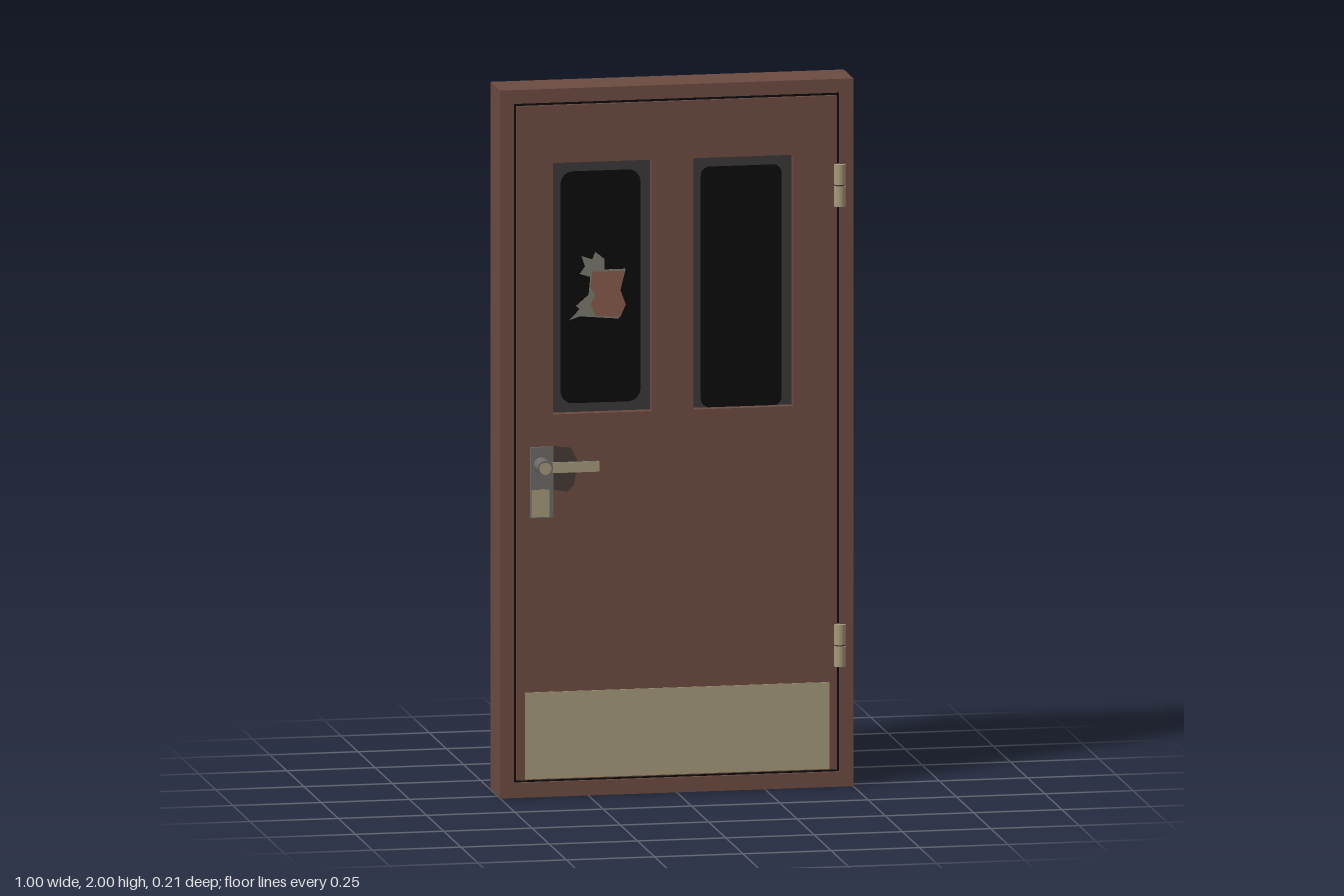
import * as THREE from 'three';

const mat = (name, color) => {
  const m = new THREE.MeshStandardMaterial({ color });
  m.name = name;
  return m;
};

export function createModel() {
  const brown = mat('brown paint', 0x6d4b41);
  const brass = mat('pale brass', 0xa59a7a);
  const black = mat('black glass', 0x0b0b0b);
  const dark = mat('dark grey surround', 0x3b3838);
  const steel = mat('worn steel', 0x6c6b65);
  const shard = mat('cracked glass', 0x7a786f);
  const stain = mat('stain', 0x453a37);
  const hole = mat('hole brown', 0x875a4c);

  const root = new THREE.Group();
  root.name = 'door';

  const add = (parent, name, geo, material, x = 0, y = 0, z = 0) => {
    const m = new THREE.Mesh(geo, material);
    m.name = name;
    m.position.set(x, y, z);
    parent.add(m);
    return m;
  };
  // box given by its limits
  const box = (parent, name, material, x0, x1, y0, y1, z0, z1) =>
    add(parent, name, new THREE.BoxGeometry(x1 - x0, y1 - y0, z1 - z0), material,
      (x0 + x1) / 2, (y0 + y1) / 2, (z0 + z1) / 2);
  const poly = (pts) => new THREE.Shape(pts.map(([x, y]) => new THREE.Vector2(x, y)));
  const rect = (x0, x1, y0, y1) => poly([[x0, y0], [x1, y0], [x1, y1], [x0, y1]]);
  const rounded = (x0, x1, y0, y1, r) => {
    const s = new THREE.Shape();
    s.absarc(x1 - r, y1 - r, r, 0, Math.PI / 2);
    s.absarc(x0 + r, y1 - r, r, Math.PI / 2, Math.PI);
    s.absarc(x0 + r, y0 + r, r, Math.PI, Math.PI * 1.5);
    s.absarc(x1 - r, y0 + r, r, Math.PI * 1.5, Math.PI * 2);
    return s;
  };
  const extrude = (parent, name, shape, holes, z0, z1, material) => {
    shape.holes = holes;
    const g = new THREE.ExtrudeGeometry(shape, { depth: z1 - z0, bevelEnabled: false, curveSegments: 5 });
    return add(parent, name, g, material, 0, 0, z0);
  };

  // frame: wide rebate in front, narrower stop behind
  extrude(root, 'frameRebate', rect(-0.5, 0.5, 0, 2), [rect(-0.461, 0.461, 0.042, 1.961)], -0.025, 0.035, brown);
  extrude(root, 'frameStop', rect(-0.5, 0.5, 0, 2), [rect(-0.435, 0.435, 0.07, 1.93)], -0.105, -0.025, brown);
  extrude(root, 'gapSeal', rect(-0.461, 0.461, 0.042, 1.961), [rect(-0.45, 0.45, 0.052, 1.95)], -0.024, 0.024, black);

  // leaf with two window openings
  const Y0 = 1.08, Y1 = 1.79;
  const windows = [[-0.35, -0.07], [0.047, 0.33]];
  extrude(root, 'leaf', rect(-0.453, 0.453, 0.049, 1.953),
    windows.map(([a, b]) => rect(a, b, Y0, Y1)), -0.025, 0.035, brown);

  // windows: surround with darker rounded glass
  const zc = 0.005;
  windows.forEach(([a, b], i) => {
    const w = new THREE.Group();
    w.name = i ? 'rightPane' : 'brokenPane';
    root.add(w);
    box(w, 'surround', dark, a, b, Y0, Y1, zc - 0.003, zc + 0.003);
    extrude(w, 'glass', rounded(a + 0.026, b - 0.028, i ? Y0 : Y0 + 0.025, Y1 - 0.03, i ? 0.025 : 0.035),
      [], zc - 0.0045, zc + 0.0045, black);
    if (i) box(w, 'backGlass', black, a, b, Y0, Y1, zc - 0.005, zc - 0.0028);
  });

  // jagged break in the left pane
  const pane = root.getObjectByName('brokenPane');
  const cracks = poly([[-0.3, 1.34], [-0.27, 1.35], [-0.16, 1.34], [-0.14, 1.38], [-0.155, 1.42], [-0.14, 1.48],
    [-0.2, 1.48], [-0.2, 1.51], [-0.225, 1.53], [-0.235, 1.51], [-0.265, 1.52], [-0.255, 1.49], [-0.27, 1.47],
    [-0.24, 1.46], [-0.245, 1.41], [-0.28, 1.38], [-0.27, 1.37]]);
  extrude(pane, 'cracks', cracks, [], zc - 0.006, zc + 0.006, shard);
  const gap = poly([[-0.24, 1.385], [-0.225, 1.35], [-0.155, 1.345], [-0.14, 1.38], [-0.155, 1.42], [-0.145, 1.475],
    [-0.235, 1.475], [-0.24, 1.43], [-0.225, 1.41]]);
  extrude(pane, 'breakHole', gap, [], zc - 0.0075, zc + 0.0075, hole);

  // kick plates
  box(root, 'frontKickPlate', brass, -0.43, 0.432, 0.052, 0.297, 0.034, 0.038);
  box(root, 'backKickPlate', brass, -0.433, 0.433, 0.052, 0.3, -0.028, -0.024);

  // strike plate on the jamb
  box(root, 'strikePlate', brass, -0.436, -0.433, 0.71, 1.07, -0.104, -0.026);

  // stains around the handles
  extrude(root, 'frontStain', poly([[-0.36, 0.87], [-0.31, 0.86], [-0.29, 0.88], [-0.283, 0.95], [-0.3, 0.985],
    [-0.36, 0.992]]), [], 0.034, 0.0365, stain);
  extrude(root, 'backStain', poly([[-0.37, 0.76], [-0.34, 0.77], [-0.28, 0.85], [-0.235, 0.92], [-0.235, 0.97],
    [-0.27, 1.01], [-0.37, 1.0]]), [], -0.0265, -0.024, stain);

  // handle sets on both faces
  const handle = (name, face, s) => {
    const h = new THREE.Group();
    h.name = name;
    root.add(h);
    const slab = (n, m, x0, x1, y0, y1, d0, d1) =>
      box(h, n, m, x0, x1, y0, y1, Math.min(face + s * d0, face + s * d1), Math.max(face + s * d0, face + s * d1));
    slab('escutcheon', steel, -0.415, -0.35, 0.79, 0.99, 0, 0.008);
    if (s > 0) slab('lockCover', brass, -0.413, -0.362, 0.793, 0.87, 0.007, 0.01);
    const rod = (n, r, d0, d1, m) => add(h, n, new THREE.CylinderGeometry(r, r, d1 - d0, 20), m,
      -0.385, 0.94, face + s * (d0 + d1) / 2).rotateX(Math.PI / 2);
    rod('spindle', 0.022, 0, 0.068, steel);
    rod('spindleCap', 0.017, 0.066, 0.07, brass);
    slab('lever', steel, -0.385, -0.232, 0.926, 0.955, 0.054, 0.062);
    slab('leverFace', brass, -0.364, -0.232, 0.926, 0.955, 0.061, 0.065);
  };
  handle('frontHandle', 0.035, 1);
  handle('backHandle', -0.025, -1);

  // hinges: two knuckles each on a thin pin
  for (const y of [0.4, 1.7]) {
    const g = new THREE.Group();
    g.name = 'hinge';
    g.position.set(0.462, y, 0.035);
    root.add(g);
    for (const s of [-1, 1]) add(g, 'knuckle', new THREE.CylinderGeometry(0.017, 0.017, 0.057, 14), brass, 0, s * 0.031, 0);
    add(g, 'pin', new THREE.CylinderGeometry(0.012, 0.012, 0.02, 10), dark);
  }
  return root;
}
